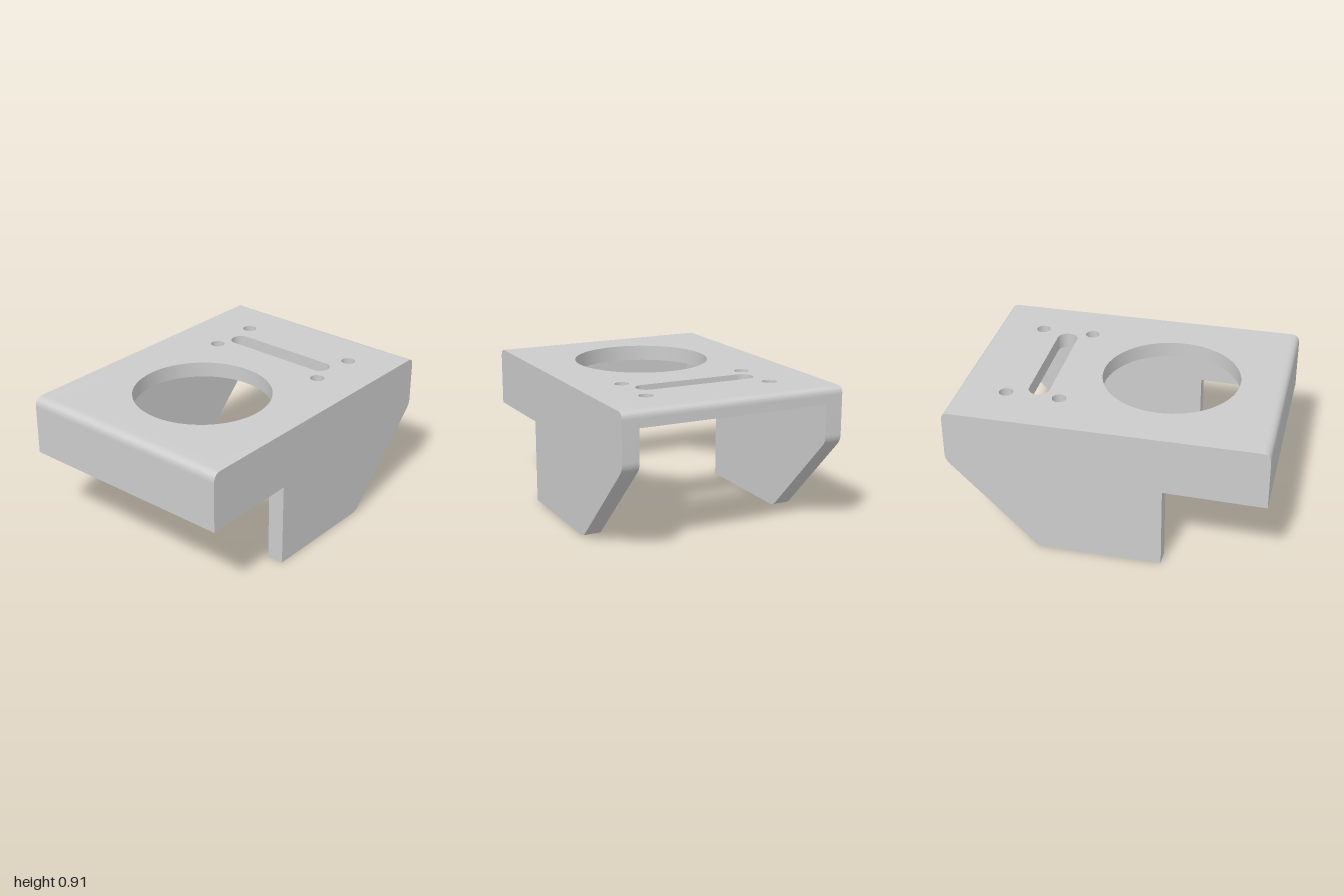
import * as THREE from 'three';
import { toCreasedNormals } from 'three/addons/utils/BufferGeometryUtils.js';

const TOP = 0.91, UNDER = 0.81, OUTER = 0.728, INNER = 0.619;
const material = new THREE.MeshStandardMaterial({ color: 0xcccccc });

// Closed outline from corners [x, y, t]; t is the length trimmed for rounding.
function outline(corners) {
  const shape = new THREE.Shape();
  const n = corners.length;
  corners.forEach(([x, y, t = 0], i) => {
    const p = new THREE.Vector2(x, y);
    const towards = ([qx, qy]) =>
      new THREE.Vector2(qx, qy).sub(p).setLength(t).add(p);
    const a = t ? towards(corners[(i + n - 1) % n]) : p;
    if (i === 0) shape.moveTo(a.x, a.y);
    else shape.lineTo(a.x, a.y);
    if (t) {
      const b = towards(corners[(i + 1) % n]);
      shape.quadraticCurveTo(x, y, b.x, b.y);
    }
  });
  shape.closePath();
  return shape;
}

function extrude(name, shape, depth, z = 0) {
  const geometry = new THREE.ExtrudeGeometry(shape, {
    depth, bevelEnabled: false, curveSegments: 32,
  });
  const mesh = new THREE.Mesh(toCreasedNormals(geometry, 0.5), material);
  mesh.name = name;
  mesh.position.z = z;
  return mesh;
}

function circle(x, z, r) {
  return new THREE.Path().absarc(x, z, r, 0, Math.PI * 2, true);
}

export function createModel() {
  const group = new THREE.Group();
  group.name = 'mountingBracket';

  // Side plates with a lowered leg and a sloping end
  const side = outline([
    [-1, 0.53], [-0.365, 0.54], [-0.365, 0], [0.42, 0, 0.04],
    [1, 0.575, 0.04], [1, TOP, 0.045], [-1, TOP, 0.06],
  ]);
  const thickness = OUTER - INNER;
  group.add(extrude('leftSidePlate', side, thickness, INNER));
  group.add(extrude('rightSidePlate', side, thickness, -OUTER));

  // Thick end wall
  const wall = outline([
    [-1, 0.53], [-0.81, 0.53], [-0.81, TOP], [-1, TOP, 0.06],
  ]);
  group.add(extrude('endWall', wall, INNER * 2, -INNER));

  // Rounded lip at the open end of the top
  const lip = outline([
    [0.9, UNDER], [1, UNDER], [1, TOP, 0.045], [0.9, TOP],
  ]);
  group.add(extrude('topLip', lip, INNER * 2, -INNER));

  // Top plate with the large opening, slot and four screw holes
  const top = outline([
    [-0.81, -INNER], [0.9, -INNER], [0.9, INNER], [-0.81, INNER],
  ]);
  top.holes.push(circle(-0.273, 0.005, 0.437));
  for (const x of [0.35, 0.69]) {
    for (const z of [-0.405, 0.43]) top.holes.push(circle(x, z, 0.045));
  }
  const slot = new THREE.Path();
  slot.absarc(0.5, 0.337, 0.066, Math.PI, 0, true);
  slot.absarc(0.5, -0.325, 0.066, 0, -Math.PI, true);
  slot.closePath();
  top.holes.push(slot);
  const plate = extrude('topPlate', top, TOP - UNDER);
  plate.rotation.x = Math.PI / 2;
  plate.position.y = TOP;
  group.add(plate);

  return group;
}
